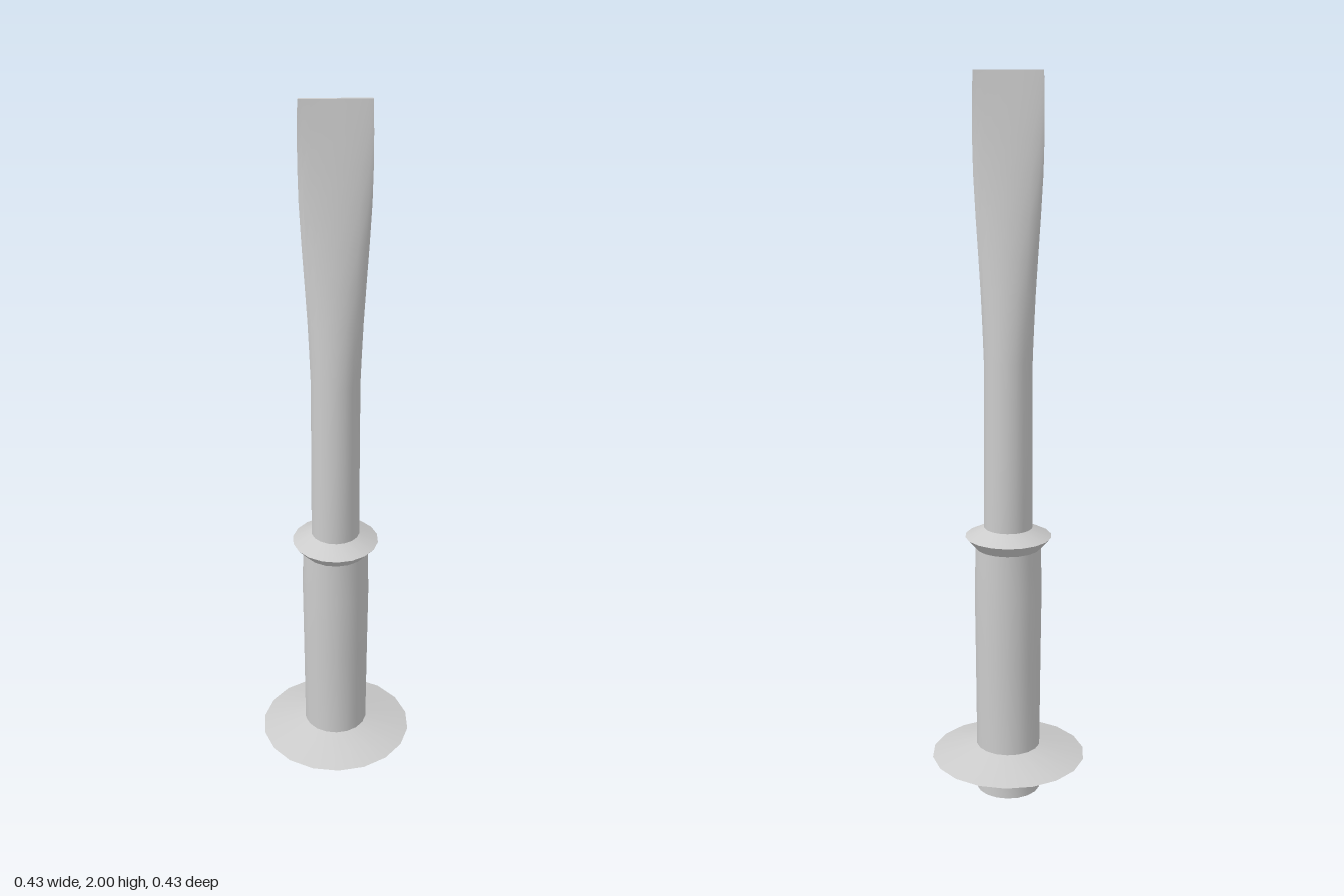
import * as THREE from 'three';
import { toCreasedNormals } from 'three/addons/utils/BufferGeometryUtils.js';

const SIDES = 18;
const CREASE = 0.45;

export function createModel() {
  const group = new THREE.Group();
  const material = new THREE.MeshStandardMaterial({ color: 0xcccccc });

  const add = (name, geometry) => {
    const mesh = new THREE.Mesh(toCreasedNormals(geometry, CREASE), material);
    mesh.name = name;
    group.add(mesh);
  };

  // Turned part from [radius, height] pairs, bottom to top
  const turned = (name, profile) =>
    add(name, new THREE.LatheGeometry(profile.map(([r, y]) => new THREE.Vector2(r, y)), SIDES));

  turned('pommel', [[0, 0], [0.09, 0], [0.09, 0.065]]);
  turned('guardDisc', [[0.09, 0.065], [0.217, 0.1], [0.09, 0.135]]);
  turned('handle', [[0.09, 0.135], [0.092, 0.4], [0.094, 0.6], [0.091, 0.725]]);
  turned('collar', [[0.091, 0.725], [0.119, 0.757], [0.066, 0.783]]);

  // Round shaft flattening into a wide chisel tip: [y, half width, half depth, flatness]
  const rows = [
    [0.78, 0.067, 0.067, 0],
    [1.0, 0.066, 0.066, 0],
    [1.25, 0.066, 0.064, 0],
    [1.33, 0.069, 0.061, 0],
    [1.42, 0.073, 0.055, 0],
    [1.52, 0.079, 0.047, 0.02],
    [1.63, 0.086, 0.037, 0.06],
    [1.74, 0.092, 0.026, 0.15],
    [1.83, 0.094, 0.018, 0.3],
    [1.92, 0.094, 0.01, 0.55],
    [2.0, 0.092, 0.004, 1],
  ];
  const last = rows.length - 1;
  const blade = new THREE.CylinderGeometry(1, 1, last, SIDES, last);
  const pos = blade.attributes.position;
  for (let i = 0; i < pos.count; i++) {
    const [y, width, depth, flat] = rows[Math.round(pos.getY(i) + last / 2)];
    const z = pos.getZ(i);
    const side = Math.abs(z) < 1e-6 ? 0 : Math.sign(z);
    pos.setXYZ(i, pos.getX(i) * width, y, depth * THREE.MathUtils.lerp(z, side, flat));
  }
  add('blade', blade);

  return group;
}
